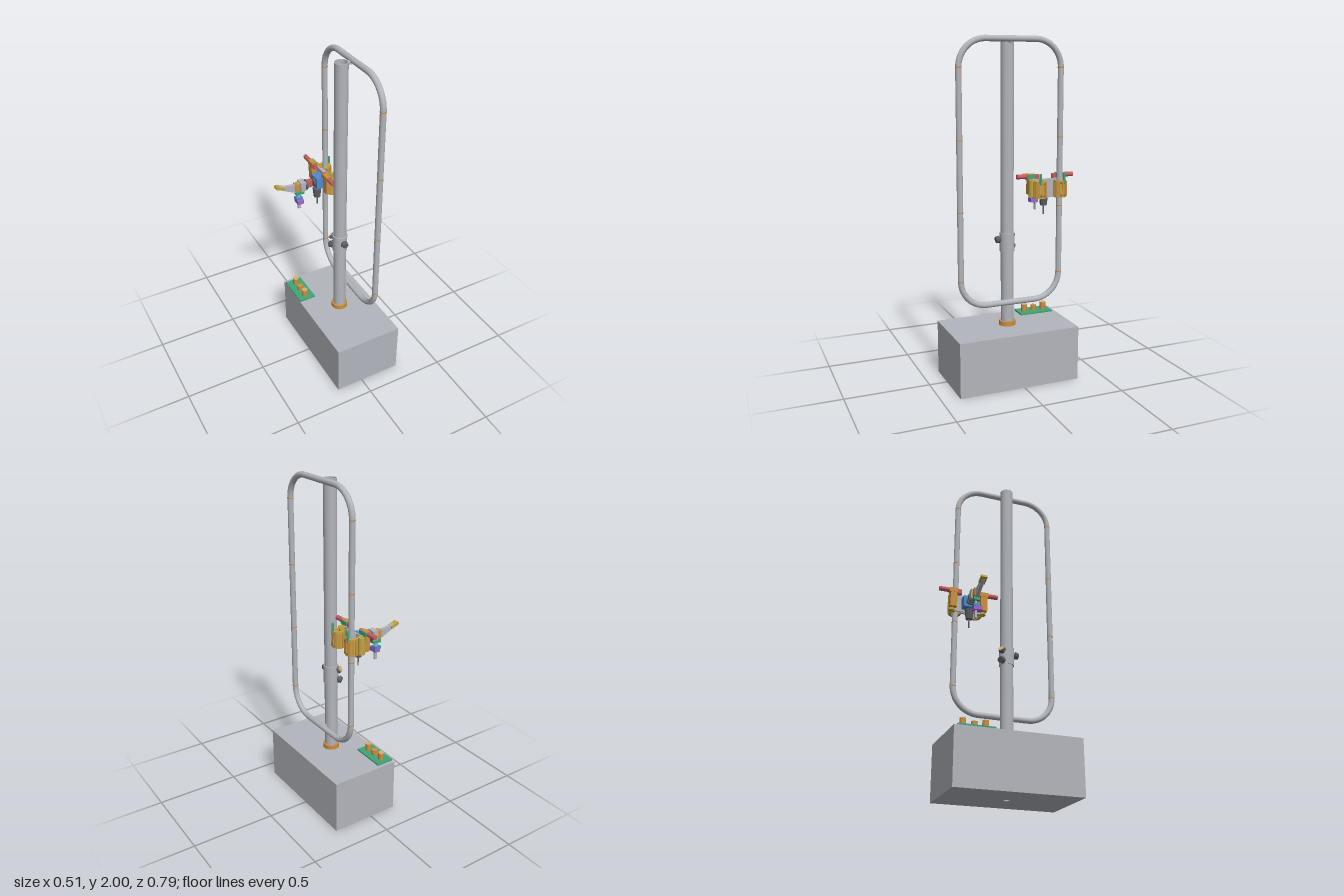
import * as THREE from 'three';

const mat = (name, color, extra = {}) => {
  const m = new THREE.MeshStandardMaterial({ color, ...extra });
  m.name = name;
  return m;
};

export function createModel() {
  const M = {
    grey: mat('grey metal', 0xb2b5bc, { side: THREE.DoubleSide }),
    dark: mat('dark metal', 0x5c5f66),
    orange: mat('orange', 0xcb9040),
    gold: mat('gold', 0xbfa544),
    red: mat('red', 0xc65f60),
    blue: mat('blue', 0x5089cb),
    green: mat('green', 0x3fa577),
    purple: mat('purple', 0xa366cc),
    tan: mat('tan', 0xd6ae70),
  };
  const model = new THREE.Group();
  model.name = 'railRobot';

  const add = (name, geo, material, x = 0, y = 0, z = 0, parent = model) => {
    const mesh = new THREE.Mesh(geo, material);
    mesh.name = name;
    mesh.position.set(x, y, z);
    parent.add(mesh);
    return mesh;
  };
  // box given by its minimum and maximum on each axis
  const box = (name, material, x0, x1, y0, y1, z0, z1, parent) =>
    add(name, new THREE.BoxGeometry(x1 - x0, y1 - y0, z1 - z0), material,
      (x0 + x1) / 2, (y0 + y1) / 2, (z0 + z1) / 2, parent);
  // cylinder centred at a point, running along a direction
  const rod = (name, material, r0, r1, len, pos, dir = [0, 1, 0], parent = model) => {
    const mesh = add(name, new THREE.CylinderGeometry(r1, r0, len, 32), material, ...pos, parent);
    mesh.quaternion.setFromUnitVectors(new THREE.Vector3(0, 1, 0), new THREE.Vector3(...dir).normalize());
    return mesh;
  };
  // shape in plan (x, -z) raised along y
  const raise = (shape, y0, y1) =>
    new THREE.ExtrudeGeometry(shape, { depth: y1 - y0, bevelEnabled: false, curveSegments: 24 })
      .rotateX(-Math.PI / 2).translate(0, y0, 0);
  const ringShape = (outer, inner) => {
    const s = new THREE.Shape().absarc(0, 0, outer, 0, Math.PI * 2);
    s.holes.push(new THREE.Path().absarc(0, 0, inner, 0, Math.PI * 2, true));
    return s;
  };
  // smooth tube wall with flat ends
  const wall = (outer, inner, y0, y1) => new THREE.LatheGeometry(
    [[inner, y0], [outer, y0], [outer, y0], [outer, y1], [outer, y1], [inner, y1], [inner, y1], [inner, y0]]
      .map(([x, y]) => new THREE.Vector2(x, y)), 40);

  // base block with a small drilled hole
  const PX = 0.042, PZ = 0.025;
  const base = new THREE.Shape([[-0.169, -0.393], [0.252, -0.393], [0.252, 0.343], [-0.169, 0.343]]
    .map(p => new THREE.Vector2(...p)));
  base.holes.push(new THREE.Path().absarc(PX, -PZ, 0.017, 0, Math.PI * 2, true));
  add('baseBlock', raise(base, 0, 0.325), M.grey);

  // hollow pole with foot collar and sleeve
  add('pole', wall(0.038, 0.032, 0.325, 1.985), M.grey, PX, 0, PZ);
  add('footCollar', raise(ringShape(0.049, 0.038), 0.325, 0.352), M.orange, PX, 0, PZ);
  add('poleSleeve', wall(0.044, 0.037, 0.775, 0.885), M.grey, PX, 0, PZ);
  for (const y of [0.482, 1.973]) box('railClip', M.grey, 0.076, 0.1, y - 0.01, y + 0.01, PZ - 0.008, PZ + 0.008);

  // sensors on the sleeve
  const sensor = (y, dir, cap) => {
    const d = new THREE.Vector3(...dir).normalize();
    const at = t => [PX + d.x * t, y + d.y * t, PZ + d.z * t];
    rod('sensorNeck', M.dark, 0.014, 0.014, 0.03, at(0.045), dir);
    rod('sensorBody', M.dark, 0.022, 0.019, 0.016, at(0.06), dir);
    rod('sensorCap', cap, 0.018, 0.018, 0.006, at(0.069), dir);
  };
  sensor(0.855, [0, -0.15, 1], M.dark);
  sensor(0.83, [-0.62, 0.6, -0.8], M.tan);
  sensor(0.815, [-0.62, -0.35, -0.8], M.dark);

  // closed rail loop with rounded corners
  const RX = 0.107, Z0 = -0.277, Z1 = 0.334, Y0 = 0.482, Y1 = 1.983, R = 0.155, K = R * 0.4477;
  const v = (z, y) => new THREE.Vector3(RX, y, z);
  const rail = new THREE.CurvePath();
  const corner = (z, y, az, ay, bz, by) => rail.add(new THREE.CubicBezierCurve3(
    v(z + az * R, y + ay * R), v(z + az * K, y + ay * K), v(z + bz * K, y + by * K), v(z + bz * R, y + by * R)));
  rail.add(new THREE.LineCurve3(v(Z0, Y0 + R), v(Z0, Y1 - R)));
  corner(Z0, Y1, 0, -1, 1, 0);
  rail.add(new THREE.LineCurve3(v(Z0 + R, Y1), v(Z1 - R, Y1)));
  corner(Z1, Y1, -1, 0, 0, -1);
  rail.add(new THREE.LineCurve3(v(Z1, Y1 - R), v(Z1, Y0 + R)));
  corner(Z1, Y0, 0, 1, -1, 0);
  rail.add(new THREE.LineCurve3(v(Z1 - R, Y0), v(Z0 + R, Y0)));
  corner(Z0, Y0, 1, 0, 0, 1);
  add('railLoop', new THREE.TubeGeometry(rail, 240, 0.017, 20, true), M.grey);
  for (const z of [Z0, Z1]) for (const y of [Y0 + R, 1.035, 1.435, Y1 - R])
    rod('railJoint', M.orange, 0.0178, 0.0178, 0.006, [RX, y, z]);

  // circuit board with three studs
  box('board', M.green, -0.168, -0.062, 0.325, 0.334, -0.321, -0.111);
  for (const [z, h] of [[-0.28, 0.376], [-0.216, 0.366], [-0.153, 0.376]])
    rod('boardStud', M.orange, 0.018, 0.018, h - 0.334, [-0.115, (h + 0.334) / 2, z]);
  for (const z of [-0.28, -0.153]) rod('studTop', M.tan, 0.018, 0.018, 0.003, [-0.115, 0.3775, z]);

  // carriage body
  const CZ = -0.217;
  box('motorBox', M.blue, 0, 0.053, 1.1, 1.168, -0.255, -0.18);
  box('backPlate', M.grey, 0.053, 0.061, 1.085, 1.19, CZ - 0.092, CZ + 0.092);
  box('frontPlate', M.grey, 0.061, 0.075, 1.08, 1.19, CZ - 0.037, CZ + 0.037);
  rod('motorShaftFlange', M.dark, 0.024, 0.024, 0.012, [-0.006, 1.133, CZ], [1, 0, 0]);
  rod('motorNeck', M.dark, 0.02, 0.027, 0.06, [0.018, 1.055, CZ]);
  rod('motorTip', M.dark, 0.004, 0.004, 0.06, [0.018, 1.0, CZ]);

  // mirrored clamps and side drives
  const halfRing = new THREE.Shape().absarc(0, 0, 0.036, -2.3, 2.3, false);
  halfRing.absarc(0, 0, 0.02, 2.3, -2.3, true);
  for (const s of [-1, 1]) {
    const side = new THREE.Group();
    side.name = s < 0 ? 'rearClamp' : 'frontClamp';
    side.position.z = CZ;
    model.add(side);
    const cz = s * 0.064;
    add('clampShell', raise(halfRing, 1.085, 1.185), M.gold, RX, 0, cz, side);
    box('clampArm', M.gold, 0.061, 0.09, 1.09, 1.18, cz + s * 0.012 - 0.008, cz + s * 0.012 + 0.008, side);
    rod('clampRoller', M.gold, 0.021, 0.021, 0.1, [0.065, 1.137, s * 0.095], [0, 1, 0], side);
    for (let i = -3; i <= 3; i++) {
      const a = i * 0.55;
      const rib = add('clampRib', new THREE.BoxGeometry(0.008, 0.086, 0.01), M.orange,
        RX + Math.cos(a) * 0.037, 1.135, cz - Math.sin(a) * 0.037, side);
      rib.rotation.y = a;
    }
    for (const y of [1.1, 1.17]) for (const a of [-0.28, 0.28])
      rod('clampBolt', M.dark, 0.004, 0.004, 0.01,
        [RX + Math.cos(a) * 0.036, y, cz + Math.sin(a) * 0.036], [Math.cos(a), 0, Math.sin(a)], side);
    rod('limitPin', M.green, 0.007, 0.007, 0.065, [0.14, 1.197, s * 0.074], [0, 1, 0], side);
    // drive motor lying along the carriage
    const driveZ = s * 0.093;
    box('driveBlock', M.orange, 0.02, 0.05, 1.19, 1.218, driveZ - 0.026, driveZ + 0.026, side);
    box('driveMount', M.orange, 0.022, 0.053, 1.1, 1.19, driveZ - 0.02, driveZ + 0.02, side);
    box('drivePlate', M.green, 0.05, 0.055, 1.193, 1.216, driveZ - 0.026, driveZ + 0.026, side);
    rod('driveMotor', M.red, 0.014, 0.014, 0.06, [0.035, 1.205, s * 0.149], [0, 0, 1], side);
    rod('driveKnob', M.red, 0.015, 0.015, 0.028, [0.037, 1.2, s * 0.056], [0, 1, 0], side);
  }

  // wrist between carriage and gripper
  box('wristBlock', M.red, -0.056, -0.018, 1.112, 1.157, CZ - 0.013, CZ + 0.013);
  rod('wristDisc', M.dark, 0.032, 0.032, 0.013, [-0.061, 1.133, CZ], [1, 0, 0]);
  box('wristHousing', M.grey, -0.1, -0.066, 1.105, 1.163, CZ - 0.027, CZ + 0.027);

  // tapered cutter arm with tip
  const arm = new THREE.Shape([[-0.24, 1.157], [-0.205, 1.138], [-0.13, 1.1], [-0.09, 1.105],
    [-0.09, 1.16], [-0.127, 1.154], [-0.205, 1.162], [-0.24, 1.175]].map(p => new THREE.Vector2(...p)));
  add('cutterArm', new THREE.ExtrudeGeometry(arm, { depth: 0.02, bevelEnabled: false }), M.grey, 0, 0, CZ - 0.01);
  const tip = add('cutterTip', new THREE.BoxGeometry(0.054, 0.016, 0.036), M.gold, -0.228, 1.162, CZ);
  tip.rotation.z = -0.38;
  box('armBracket', M.orange, -0.13, -0.1, 1.11, 1.157, CZ - 0.018, CZ + 0.018);

  // hanging tool under the arm
  box('toolHolder', M.green, -0.127, -0.075, 1.083, 1.104, CZ - 0.018, CZ + 0.018);
  rod('toolStem', M.grey, 0.008, 0.008, 0.035, [-0.106, 1.07, CZ]);
  box('toolServo', M.blue, -0.127, -0.087, 1.043, 1.06, CZ - 0.018, CZ + 0.018);
  box('toolCover', M.purple, -0.127, -0.087, 1.025, 1.05, CZ + 0.018, CZ + 0.034);
  box('toolBase', M.purple, -0.125, -0.089, 1.024, 1.043, CZ - 0.016, CZ + 0.018);
  box('toolBlade', M.grey, -0.112, -0.093, 0.978, 1.024, CZ - 0.005, CZ + 0.005);

  return model;
}
